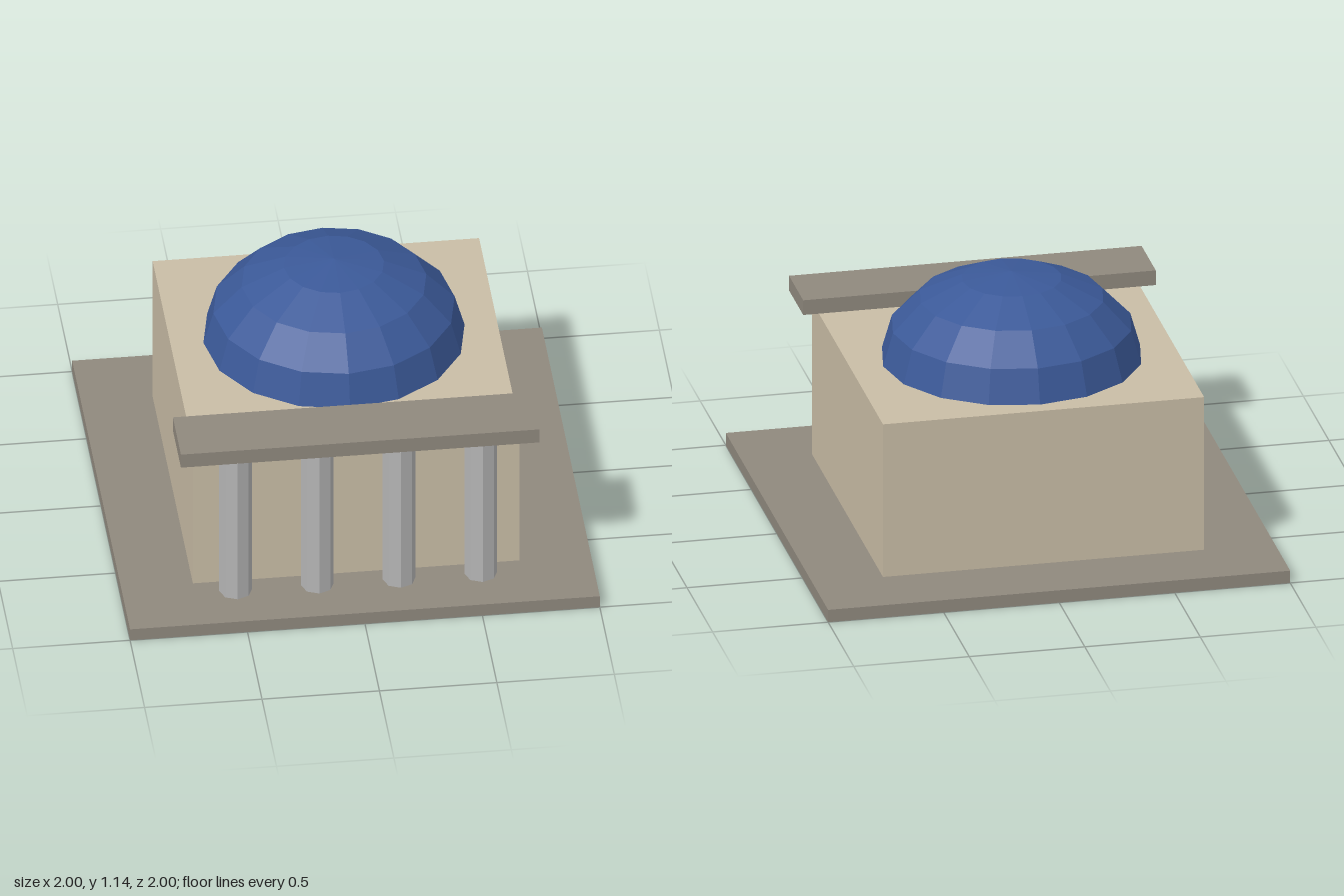
import * as THREE from 'three';

const material = (color) => new THREE.MeshStandardMaterial({ color, flatShading: true });

export function createModel() {
  const model = new THREE.Group();
  model.name = 'domedTemple';
  const stone = material(0x8f887d);
  const wall = material(0xc8bca5);
  const marble = material(0xb4b4b4);
  const blue = material(0x3b5998);

  const add = (name, geometry, mat, x, y, z) => {
    const mesh = new THREE.Mesh(geometry, mat);
    mesh.name = name;
    mesh.position.set(x, y, z);
    model.add(mesh);
    return mesh;
  };
  // Box given by its size, bottom height and z centre
  const addBox = (name, w, h, d, bottom, z, mat) =>
    add(name, new THREE.BoxGeometry(w, h, d), mat, 0, bottom + h / 2, z);

  const floor = 0.056;
  const roof = 0.754;

  addBox('basePlate', 2, floor, 2, 0, 0, stone);
  addBox('hall', 1.39, roof - floor, 1.39, floor, 0, wall);
  addBox('lintel', 1.526, 0.067, 0.278, roof, 0.695, stone);

  // Row of octagonal columns carrying the lintel
  const columnGeometry = new THREE.CylinderGeometry(0.07, 0.07, roof - floor, 8);
  for (let i = 0; i < 4; i++) {
    add('column' + (i + 1), columnGeometry, marble, (i - 1.5) * 0.348, (floor + roof) / 2, 0.765);
  }

  // Flattened faceted half sphere
  const domeGeometry = new THREE.SphereGeometry(0.556, 16, 4, 0, Math.PI * 2, 0, Math.PI / 2);
  domeGeometry.scale(1, 0.695, 1);
  add('dome', domeGeometry, blue, 0, roof, -0.07);

  return model;
}
